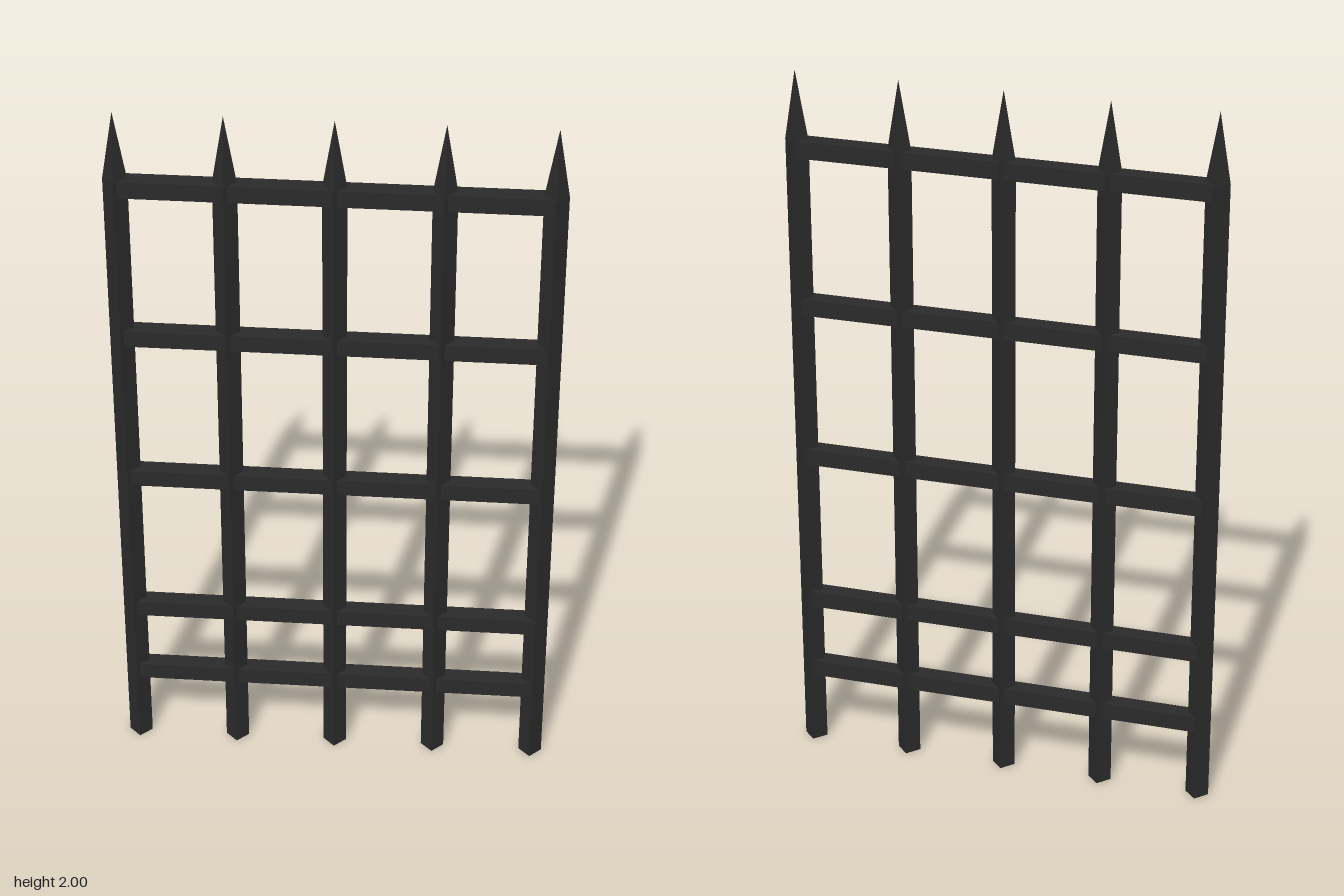
import * as THREE from 'three';

export function createModel() {
  const group = new THREE.Group();
  const iron = new THREE.MeshStandardMaterial({ color: 0x2a2a2a, flatShading: true });

  const add = (name, geometry, x, y) => {
    const mesh = new THREE.Mesh(geometry, iron);
    mesh.name = name;
    mesh.position.set(x, y, 0);
    group.add(mesh);
  };

  const radius = 0.032, postHeight = 1.81, spikeHeight = 0.19, spacing = 0.278;

  // Four-sided upright bars, set corner-on, each topped with a spike
  const post = new THREE.CylinderGeometry(radius, radius, postHeight, 4);
  const spike = new THREE.ConeGeometry(radius, spikeHeight, 4);
  for (let i = -2; i <= 2; i++) {
    add('uprightBar', post, i * spacing, postHeight / 2);
    add('spike', spike, i * spacing, postHeight + spikeHeight / 2);
  }

  // Square crossbars joining the outer uprights
  const rail = new THREE.BoxGeometry(4 * spacing, 0.047, 0.048);
  for (const y of [0.233, 0.456, 0.9, 1.345, 1.79]) add('crossbar', rail, 0, y);

  return group;
}
